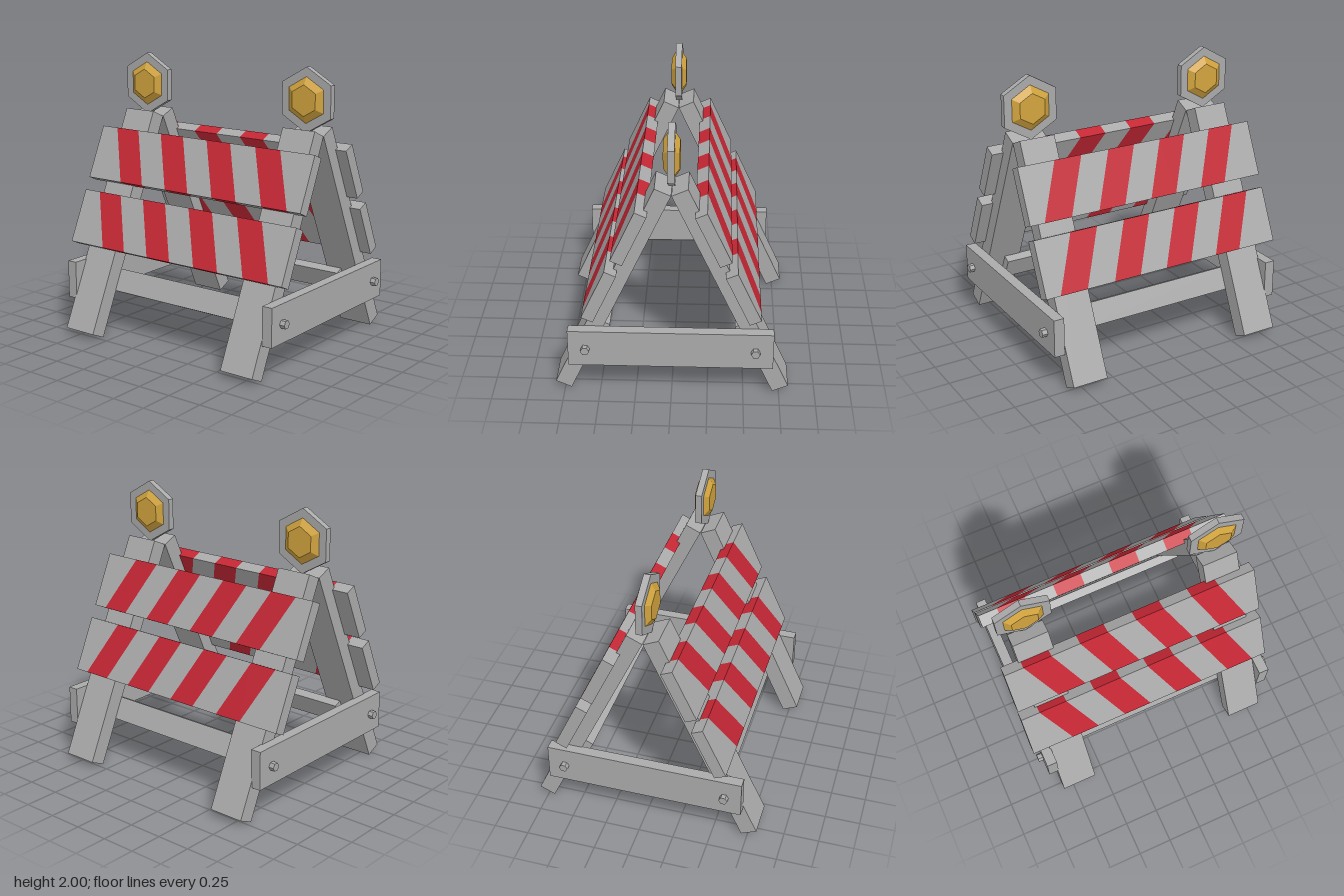
import * as THREE from 'three';

const gray = new THREE.MeshStandardMaterial({ color: 0xaaaaaa });
gray.name = 'weathered gray';
const red = new THREE.MeshStandardMaterial({ color: 0xc42734 });
red.name = 'stripe red';
const amber = new THREE.MeshStandardMaterial({ color: 0xd2a43e });
amber.name = 'lens amber';

const TILT = Math.atan2(0.417, 0.909); // lean of each side of the A-frame
const LEG_Z = [0.71, -0.70];

function add(parent, name, geometry, material, x = 0, y = 0, z = 0, tilt = 0) {
  const mesh = new THREE.Mesh(geometry, material);
  mesh.name = name;
  mesh.position.set(x, y, z);
  mesh.rotation.z = tilt;
  parent.add(mesh);
  return mesh;
}

// Faceted normals for the six-sided parts
function faceted(geometry) {
  const flat = geometry.toNonIndexed();
  flat.computeVertexNormals();
  return flat;
}

// Plank cut into slanted gray and red blocks along z
function plankGeometries() {
  const h = 0.2, thick = 0.087, slant = 0.17, pitch = 0.419, width = 0.206;
  const zMin = -0.955, zMax = 0.925;
  const cuts = [[zMin, zMin]]; // [bottom z, top z] of each cut
  for (let i = 0; i < 4; i++) {
    const top = -0.815 + i * pitch;
    cuts.push([top + slant, top], [top + slant + width, top + width]);
  }
  cuts.push([zMax, zMax]);
  const shapes = [[], []];
  for (let i = 0; i < cuts.length - 1; i++) {
    const [b0, t0] = cuts[i], [b1, t1] = cuts[i + 1];
    shapes[i % 2].push(new THREE.Shape([
      new THREE.Vector2(b0, -h), new THREE.Vector2(b1, -h),
      new THREE.Vector2(t1, h), new THREE.Vector2(t0, h),
    ]));
  }
  return shapes.map((s) => new THREE.ExtrudeGeometry(s, { depth: thick, bevelEnabled: false })
    .translate(0, 0, -thick / 2)
    .rotateY(-Math.PI / 2));
}

export function createModel() {
  const model = new THREE.Group();
  model.name = 'barricade';

  const legGeo = new THREE.BoxGeometry(0.12, 1.69, 0.26);
  const railGeo = new THREE.BoxGeometry(0.065, 0.165, 1.4);
  const [plankGray, plankRed] = plankGeometries();

  // Two leaning sides: legs, inner rail and striped planks
  for (const s of [1, -1]) {
    const side = new THREE.Group();
    side.name = s > 0 ? 'leftSide' : 'rightSide';
    model.add(side);
    const tilt = s * TILT;
    for (const z of LEG_Z) add(side, 'leg', legGeo, gray, s * 0.408, 0.793, z, tilt);
    add(side, 'rail', railGeo, gray, s * 0.5, 0.381, 0.005, tilt);
    for (const [x, y, name] of [[0.28, 1.256, 'upperPlank'], [0.4875, 0.806, 'lowerPlank']]) {
      const plank = new THREE.Group();
      plank.name = name;
      plank.position.set(s * x, y, 0);
      plank.rotation.z = tilt;
      add(plank, 'plankBoard', plankGray, gray);
      add(plank, 'plankStripes', plankRed, red);
      side.add(plank);
    }
  }

  // Cross boards with hexagonal bolts at each end of the frame
  const boardGeo = new THREE.BoxGeometry(1.41, 0.275, 0.076);
  const boltGeo = faceted(new THREE.CylinderGeometry(0.031, 0.031, 0.05, 6)
    .rotateY(Math.PI / 6).rotateX(Math.PI / 2));
  for (const [z, boltZ] of [[0.882, 0.933], [-0.86, -0.911]]) {
    add(model, 'crossBoard', boardGeo, gray, -0.005, 0.387, z);
    for (const x of [-0.59, 0.577]) add(model, 'bolt', boltGeo, gray, x, 0.387, boltZ);
  }

  // Warning lamps: hexagonal housing with a bevelled lens on both faces
  const housingGeo = faceted(new THREE.CylinderGeometry(0.226, 0.226, 0.046, 6)
    .rotateY(Math.PI / 6).rotateZ(Math.PI / 2));
  const lensProfile = [[0, -0.055], [0.108, -0.055], [0.16, -0.023],
    [0.16, 0.023], [0.108, 0.055], [0, 0.055]].map(([r, y]) => new THREE.Vector2(r, y));
  const lensGeo = faceted(new THREE.LatheGeometry(lensProfile, 6)
    .rotateY(Math.PI / 6).rotateZ(Math.PI / 2));
  for (const z of LEG_Z) {
    const lamp = new THREE.Group();
    lamp.name = 'warningLamp';
    lamp.position.set(0, 1.774, z);
    add(lamp, 'lampHousing', housingGeo, gray);
    add(lamp, 'lampLens', lensGeo, amber);
    model.add(lamp);
  }

  return model;
}
